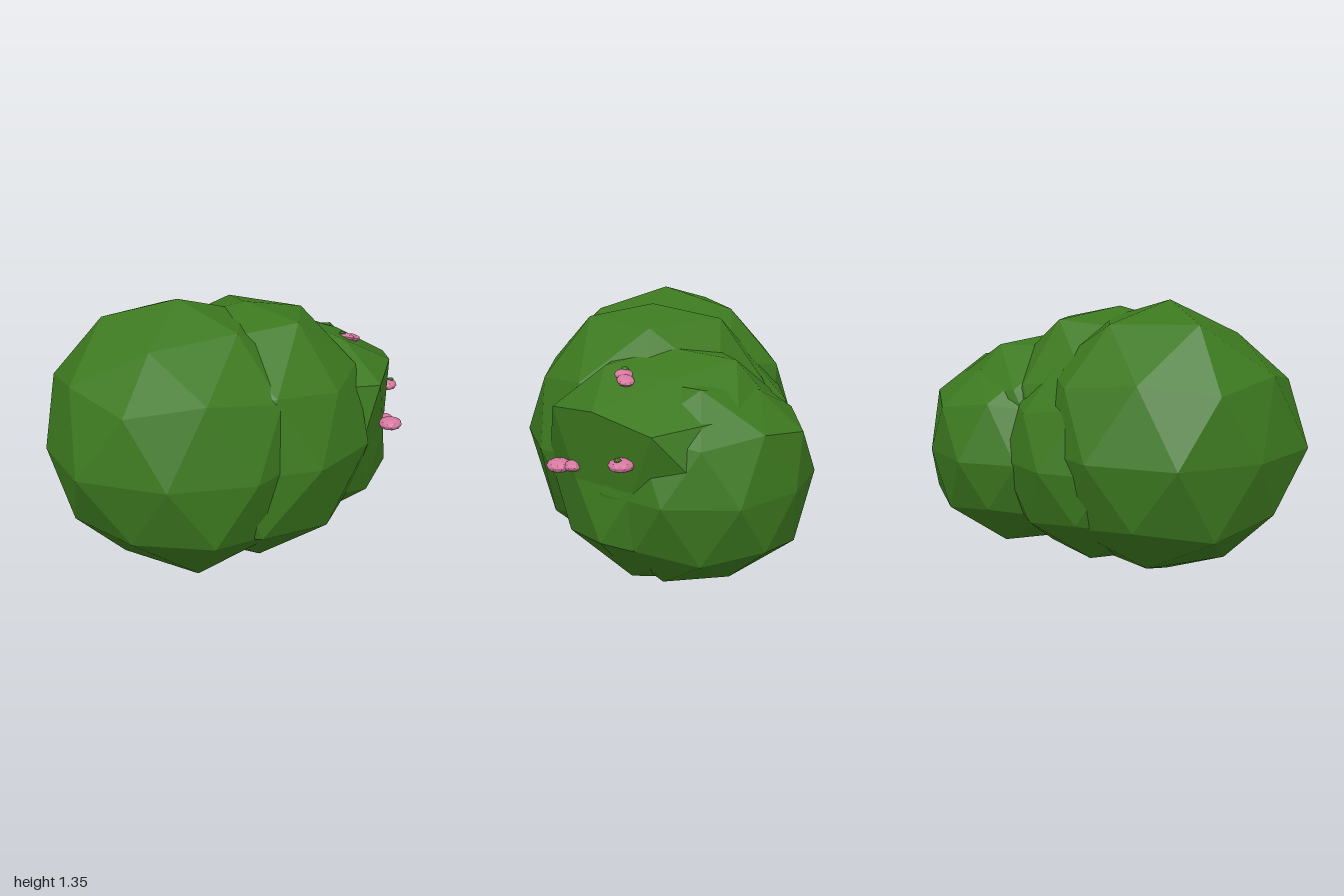
import * as THREE from 'three';

// Faceted ball with a vertex on each pole and an upper ring vertex towards +x
function facetedBall() {
  const geometry = new THREE.IcosahedronGeometry(1, 1);
  geometry.rotateZ(-Math.atan2(2, 1 + Math.sqrt(5)));
  return geometry;
}

// Ball of foliage; any corner close to a dent point is moved onto it
function foliageGeometry(centre, radius, dents) {
  const geometry = facetedBall().scale(radius, radius, radius).translate(...centre);
  const position = geometry.attributes.position;
  const corner = new THREE.Vector3();
  const targets = dents.map((dent) => new THREE.Vector3(...dent));
  for (let i = 0; i < position.count; i++) {
    corner.fromBufferAttribute(position, i);
    const target = targets.find((point) => point.distanceTo(corner) < 0.13);
    if (target) position.setXYZ(i, target.x, target.y, target.z);
  }
  geometry.computeVertexNormals();
  return geometry;
}

export function createModel() {
  const model = new THREE.Group();
  model.name = 'floweringBush';

  const leafGreen = new THREE.MeshStandardMaterial({ color: 0x3c781f });
  leafGreen.name = 'leafGreen';
  const blossomPink = new THREE.MeshStandardMaterial({ color: 0xd4769f });
  blossomPink.name = 'blossomPink';

  // Overlapping clumps of foliage: name, centre, radius, dents
  const clumps = [
    ['frontFoliage', [-0.07, 0.675, 0.32], 0.675, [
      [0.04, 1.19, 0.63], [-0.36, 1.26, 0.53], [-0.44, 0.13, 0.32], [-0.17, 0.13, 0.63],
      [-0.24, 1.03, 0.85], [0.11, 0.97, 0.87], [-0.24, 0.385, 0.87], [0.11, 0.36, 0.85],
      [0.32, 0.675, 0.835], [-0.45, 0.675, 0.84], [0.44, 0.37, 0.66], [-0.62, 1.015, 0.32],
    ]],
    ['middleFoliage', [0.085, 0.668, 0.02], 0.636, [
      [0.4, 1.255, 0.02], [0.63, 0.97, 0.02], [0.6, 0.28, 0.02],
      [-0.19, 1.25, -0.2], [0.19, 1.235, -0.3], [0.52, 0.35, 0.43],
      [0.33, 0.1, 0.2], [0.33, 0.1, -0.19], [-0.01, 0.07, -0.3],
    ]],
    ['rightMiddleFoliage', [-0.12, 0.6, 0.03], 0.545, []],
    ['leftBackFoliage', [0.1, 0.625, -0.36], 0.575, [
      [0.1, 1.15, -0.36], [0.2, 1.055, -0.62], [0.41, 1.09, -0.36],
      [0.65, 0.91, -0.33], [0.53, 0.945, -0.62], [0.345, 0.89, -0.88],
      [0.585, 0.62, -0.5], [0.4, 0.62, -0.77], [0.1, 0.065, -0.3],
    ]],
    ['backFoliage', [0, 0.585, -0.47], 0.53, [
      [0, 1.03, -0.47], [-0.225, 0.99, -0.62], [-0.52, 0.585, -0.6],
      [-0.31, 0.585, -0.86], [-0.07, 0.145, -0.69],
    ]],
  ];
  for (const [name, centre, radius, dents] of clumps) {
    const clump = new THREE.Mesh(foliageGeometry(centre, radius, dents), leafGreen);
    clump.name = name;
    model.add(clump);
  }

  const bud = facetedBall();
  bud.computeVertexNormals();
  const addBud = (name, material, centre, size, tilt) => {
    const mesh = new THREE.Mesh(bud, material);
    mesh.name = name;
    mesh.position.set(...centre);
    mesh.scale.set(...size);
    mesh.rotation.x = tilt;
    model.add(mesh);
  };

  // Flattened blossoms: centre, half sizes, tilt about x
  const blossoms = [
    [[0.442, 0.748, -0.765], [0.057, 0.03, 0.057], 0],
    [[0.65, 0.672, -0.455], [0.057, 0.031, 0.062], 0],
    [[0.595, 0.675, -0.49], [0.045, 0.024, 0.045], 0],
    [[0.36, 1.05, -0.525], [0.04, 0.02, 0.045], -0.3],
    [[0.355, 1.065, -0.475], [0.042, 0.02, 0.042], -0.3],
  ];
  for (const blossom of blossoms) addBud('blossom', blossomPink, ...blossom);

  // Small green hearts
  addBud('blossomHeart', leafGreen, [0.46, 0.775, -0.78], [0.016, 0.01, 0.016], 0);
  addBud('blossomHeart', leafGreen, [0.345, 1.087, -0.455], [0.016, 0.01, 0.016], -0.3);

  return model;
}
